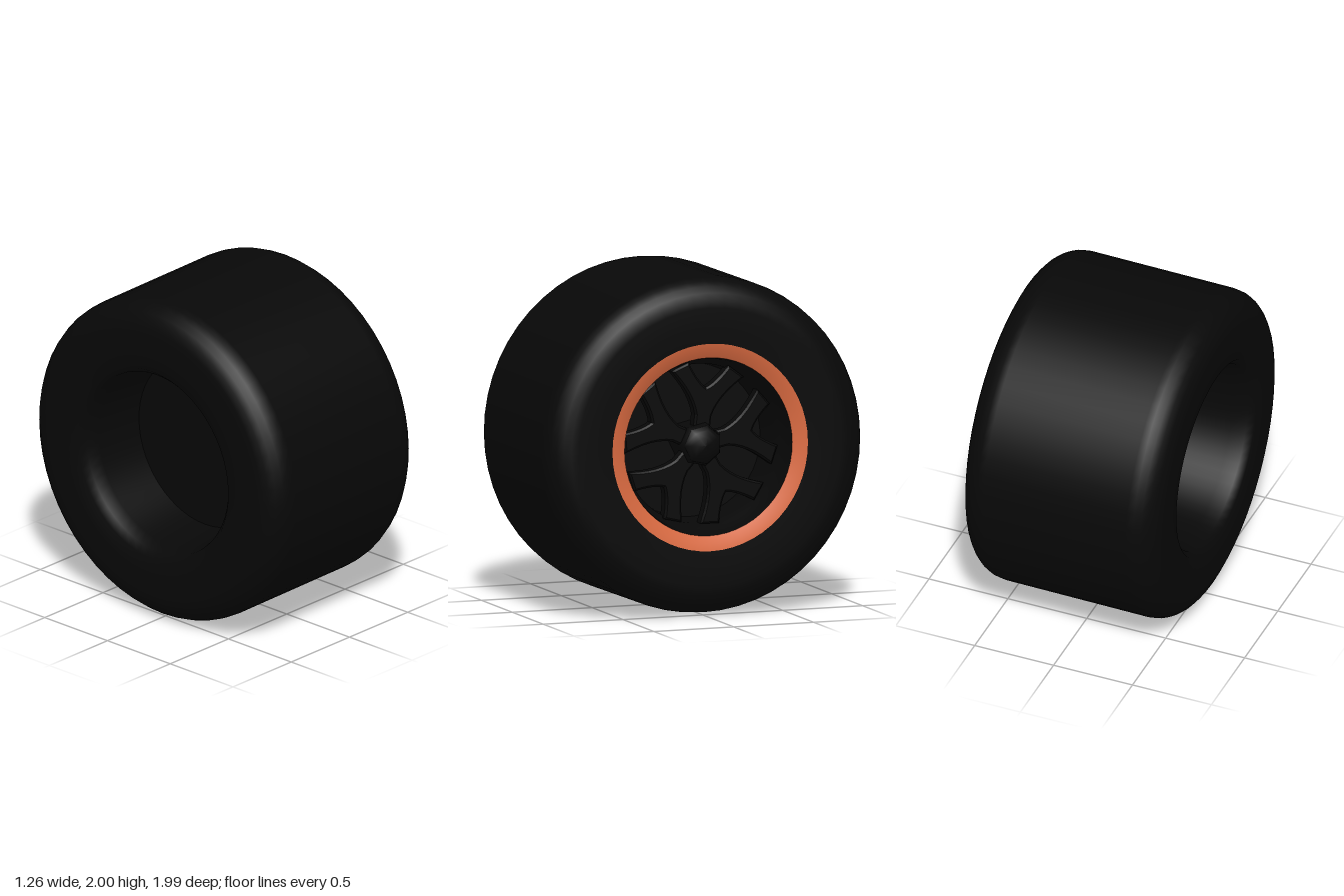
import * as THREE from 'three';

const SIDES = 56;
const rubber = new THREE.MeshStandardMaterial({ color: 0x080808 });
const metal = new THREE.MeshStandardMaterial({ color: 0x080808 });
const orange = new THREE.MeshStandardMaterial({ color: 0xdd6c42 });

function add(parent, name, geometry, material) {
  const mesh = new THREE.Mesh(geometry, material);
  mesh.name = name;
  parent.add(mesh);
  return mesh;
}

// Surface of revolution from [radius, height] pairs
function lathe(pairs, sides = SIDES) {
  return new THREE.LatheGeometry(pairs.map(([r, h]) => new THREE.Vector2(r, h)), sides);
}

// Rounded shoulder, a quarter arc about (r, h)
function shoulder(r, h, radius, from) {
  return Array.from({ length: 7 }, (_, i) => {
    const a = from + (i / 6) * Math.PI / 2;
    return [r + radius * Math.cos(a), h + radius * Math.sin(a)];
  });
}

// Forked spoke outline, pointing along +x
function spokeShape() {
  const s = new THREE.Shape();
  s.moveTo(0.08, -0.04);
  s.lineTo(0.17, -0.04);
  s.quadraticCurveTo(0.29, -0.07, 0.41, -0.21);
  s.lineTo(0.455, -0.13);
  s.quadraticCurveTo(0.35, -0.06, 0.32, 0);
  s.quadraticCurveTo(0.35, 0.06, 0.455, 0.13);
  s.lineTo(0.41, 0.21);
  s.quadraticCurveTo(0.29, 0.07, 0.17, 0.04);
  s.lineTo(0.08, 0.04);
  s.closePath();
  return s;
}

export function createModel() {
  const model = new THREE.Group();
  model.name = 'wheel';

  // Built around the y axis, then laid on its side with a slight camber
  const wheel = new THREE.Group();
  wheel.name = 'wheelAssembly';
  wheel.position.y = 1;
  wheel.rotation.z = -Math.PI / 2 + 0.012;
  model.add(wheel);

  // Tyre: hollow back with a soft edge, tread and outer wall
  add(wheel, 'tyre', lathe([
    [0.52, -0.17], [0.55, -0.48], [0.565, -0.57], [0.60, -0.61], [0.70, -0.62],
    ...shoulder(0.823, -0.45, 0.17, -Math.PI / 2),
    ...shoulder(0.823, 0.45, 0.17, 0),
    [0.70, 0.62], [0.605, 0.617],
  ]), rubber);

  // Coloured lip, sloping inward around the rim
  add(wheel, 'rimLip', lathe([[0.612, 0.619], [0.57, 0.61], [0.525, 0.59]]), orange);

  // Outer barrel, stepping in to the bowl
  add(wheel, 'rimBarrel', lathe([
    [0.525, 0.59], [0.515, 0.55], [0.50, 0.45], [0.47, 0.42], [0.455, 0.25],
  ]), metal);
  add(wheel, 'rimFloor', lathe([[0.455, 0.25], [0, 0.25]]), metal);
  add(wheel, 'backPlate', lathe([[0, -0.17], [0.52, -0.17]]), metal);

  // Five forked spokes
  const spoke = new THREE.ExtrudeGeometry(spokeShape(), {
    depth: 0.06, bevelEnabled: true, bevelSize: 0.012, bevelThickness: 0.012, bevelSegments: 1, curveSegments: 6,
  });
  spoke.rotateX(-Math.PI / 2);
  for (let i = 0; i < 5; i++) {
    const mesh = add(wheel, 'spoke', spoke, metal);
    mesh.position.y = 0.39;
    mesh.rotation.y = THREE.MathUtils.degToRad(173 + i * 72);
  }

  // Faceted hub with a domed cap
  add(wheel, 'hub', lathe([[0.12, 0.25], [0.13, 0.47], [0.115, 0.50]], 7), metal);
  add(wheel, 'hubCap', lathe([[0.115, 0.50], [0.09, 0.53], [0.05, 0.548], [0, 0.555]], 7), metal);

  return model;
}
